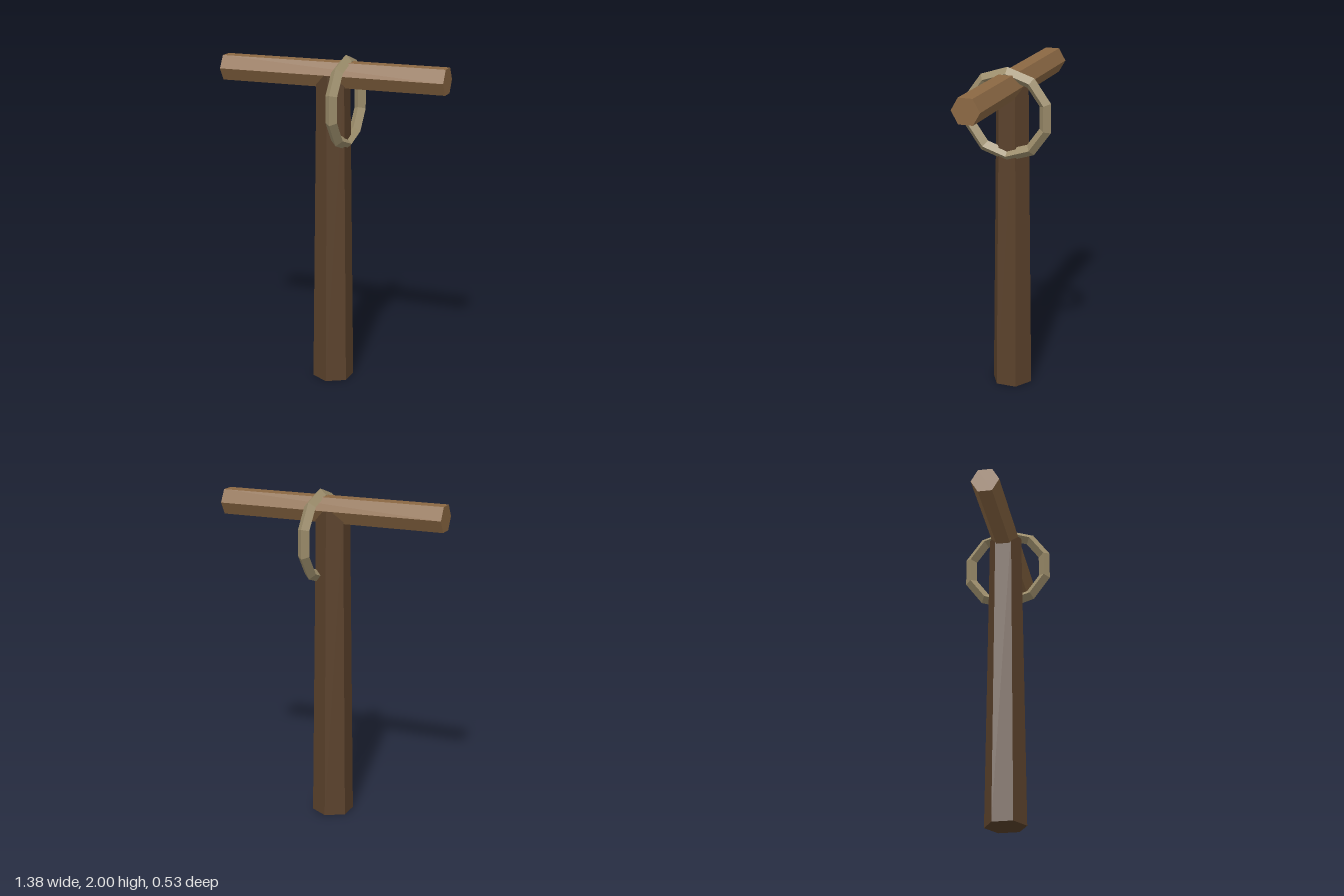
import * as THREE from 'three';

function part(name, geometry, color, x, y) {
  const mesh = new THREE.Mesh(geometry, new THREE.MeshStandardMaterial({ color, flatShading: true }));
  mesh.name = name;
  mesh.position.set(x, y, 0);
  return mesh;
}

export function createModel() {
  const group = new THREE.Group();
  group.name = 'hitchingPost';

  // Tapered six-sided upright, standing on the ground
  const postHeight = 1.885;
  group.add(part('post', new THREE.CylinderGeometry(0.1, 0.125, postHeight, 6), 0x5a412b, 0, postHeight / 2));

  // Six-sided crossbeam lying along x, flat side up
  const beam = new THREE.CylinderGeometry(0.085, 0.085, 1.385, 6).rotateZ(Math.PI / 2);
  group.add(part('crossbeam', beam, 0x8b6843, 0, postHeight));

  // Ten-sided ring with a diamond section, hung round the beam, a corner at the top
  const ring = new THREE.TorusGeometry(0.244, 0.036, 4, 10).rotateZ(Math.PI / 10).rotateY(Math.PI / 2);
  group.add(part('ring', ring, 0x9c8d6b, 0.08, 1.72));

  return group;
}
